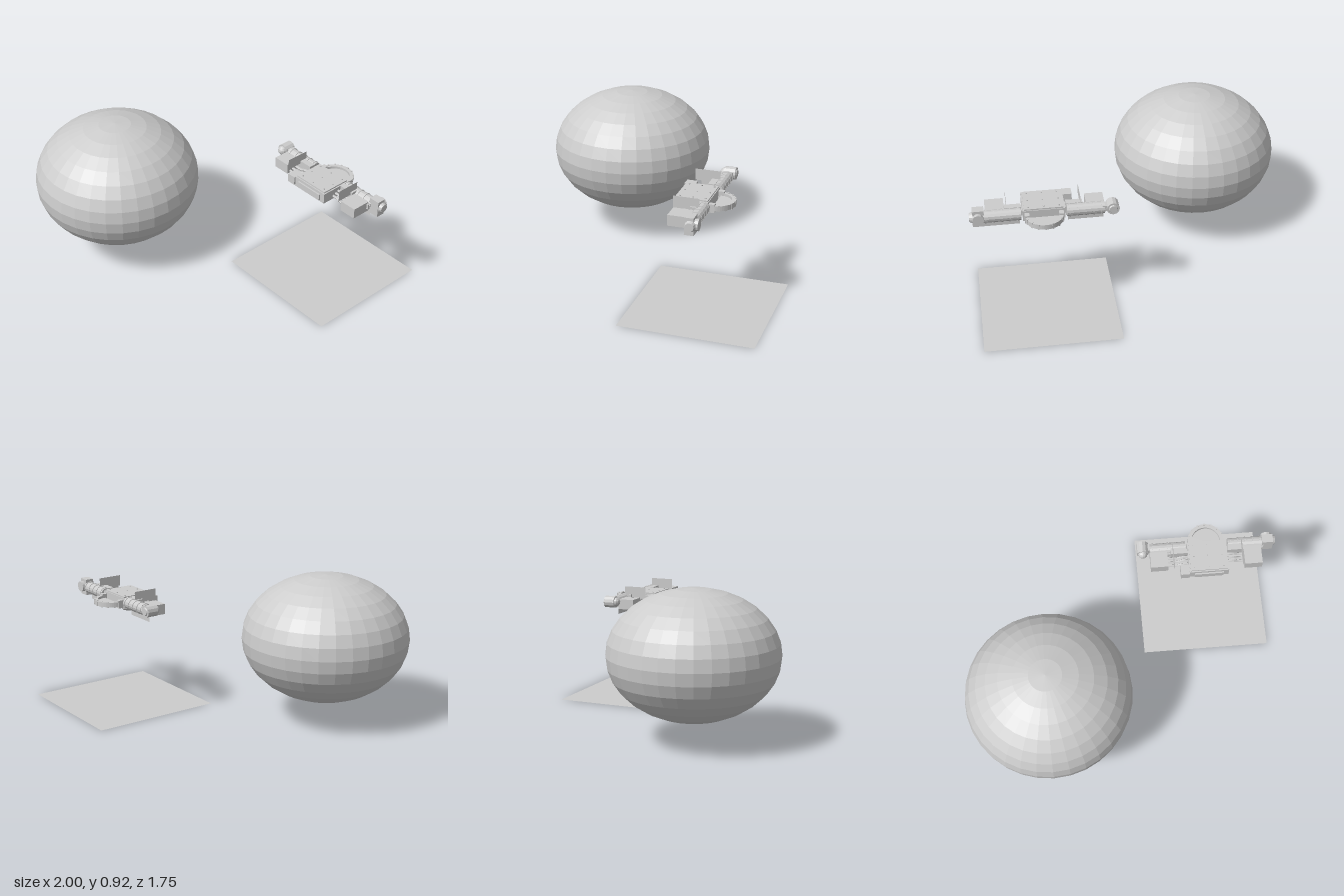
import * as THREE from 'three';

export function createModel() {
  const model = new THREE.Group();
  const grey = new THREE.MeshStandardMaterial({ color: 0xcccccc, flatShading: true, side: THREE.DoubleSide });
  grey.name = 'plain grey';

  const add = (parent, name, geo, x, y, z, rx = 0, ry = 0, rz = 0) => {
    const m = new THREE.Mesh(geo, grey);
    m.name = name;
    m.position.set(x, y, z);
    m.rotation.set(rx, ry, rz);
    parent.add(m);
    return m;
  };
  // box given by its limits
  const box = (parent, name, x0, x1, y0, y1, z0, z1) =>
    add(parent, name, new THREE.BoxGeometry(x1 - x0, y1 - y0, z1 - z0), (x0 + x1) / 2, (y0 + y1) / 2, (z0 + z1) / 2);
  const cyl = (r0, r1, h, n = 16) => new THREE.CylinderGeometry(r0, r1, h, n);
  const group = (name) => {
    const g = new THREE.Group();
    g.name = name;
    model.add(g);
    return g;
  };

  // flattened faceted dome and ground panel
  const dome = new THREE.SphereGeometry(0.515, 32, 16);
  dome.scale(1, 0.763, 1);
  add(model, 'flattenedSphere', dome, -0.485, 0.532, 0.355);
  add(model, 'groundPanel', new THREE.PlaneGeometry(0.82, 0.82), 0.56, 0, -0.468, -Math.PI / 2);

  // central hull, local x measured from the hull centre
  const hull = group('hull');
  hull.position.x = 0.564;
  box(hull, 'hullBlock', -0.123, 0.123, 0.645, 0.712, -0.515, -0.31);
  box(hull, 'hullRoof', -0.115, 0.115, 0.712, 0.72, -0.51, -0.318);
  box(hull, 'frontPanel', -0.09, 0.09, 0.655, 0.695, -0.312, -0.3);
  for (const x of [-0.09, 0, 0.09])
    for (const z of [-0.34, -0.415, -0.49])
      add(hull, 'bolt', cyl(0.005, 0.005, 0.006, 6), x, 0.722, z);

  // stepped round turret beneath
  const turret = [[0, 0.6], [0.036, 0.6], [0.044, 0.61], [0.044, 0.619], [0.062, 0.623], [0.074, 0.635], [0.074, 0.65]];
  add(hull, 'turret', new THREE.LatheGeometry(turret.map(([r, y]) => new THREE.Vector2(r, y)), 20), 0, 0, -0.41);

  // half ring behind the hull
  const arch = new THREE.Shape();
  arch.absarc(0, 0, 0.112, 0, Math.PI, false);
  arch.absarc(0, 0, 0.088, Math.PI, 0, true);
  arch.closePath();
  const ring = new THREE.ExtrudeGeometry(arch, { depth: 0.03, bevelEnabled: false, curveSegments: 14 });
  add(hull, 'rearRing', ring, 0, 0.66, -0.53, -Math.PI / 2);
  const deck = new THREE.CylinderGeometry(0.09, 0.09, 0.014, 14, 1, false, Math.PI / 2, Math.PI);
  add(hull, 'rearDeck', deck, 0, 0.668, -0.53);
  for (const s of [-1, 1])
    box(hull, 'ringMount', s * 0.1 - 0.014, s * 0.1 + 0.014, 0.65, 0.7, -0.55, -0.505);
  for (let i = 1; i < 8; i++) {
    const a = (i / 8) * Math.PI;
    add(hull, 'ringRib', new THREE.BoxGeometry(0.01, 0.036, 0.01),
      Math.cos(a) * 0.109, 0.675, -0.53 - Math.sin(a) * 0.109, 0, a, 0);
  }

  // arms shared by both sides
  for (const s of [-1, 1]) {
    const arm = group(s < 0 ? 'rightArm' : 'leftArm');
    arm.position.x = 0.564;
    const span = (name, a, b, ...r) => box(arm, name, Math.min(s * a, s * b), Math.max(s * a, s * b), ...r);
    add(arm, 'armBarrel', cyl(0.036, 0.036, 0.222, 14), s * 0.244, 0.685, -0.495, 0, 0, Math.PI / 2);
    for (let i = 0; i < 5; i++)
      add(arm, 'barrelBand', cyl(0.039, 0.039, 0.008, 14), s * (0.15 + i * 0.047), 0.685, -0.495, 0, 0, Math.PI / 2);
    span('shoulder', 0.13, 0.228, 0.64, 0.72, -0.48, -0.44);
    span('spine', 0.12, 0.35, 0.66, 0.695, -0.48, -0.45);
    // forward pod
    if (s < 0) span('pod', 0.25, 0.358, 0.64, 0.705, -0.47, -0.365);
    else span('pod', 0.228, 0.338, 0.64, 0.705, -0.47, -0.345);
    // wavy pipes between hull and pod
    for (const [z, y] of [[-0.43, 0.672], [-0.41, 0.662], [-0.39, 0.652]]) {
      const path = new THREE.CatmullRomCurve3([
        [0.115, 0.012], [0.16, 0.012], [0.19, 0], [0.26, 0],
      ].map(([x, dy]) => new THREE.Vector3(s * x, y + dy, z)));
      add(arm, 'pipe', new THREE.TubeGeometry(path, 12, 0.008, 6), 0, 0, 0);
    }
    // thin upright fin and lower plate
    add(arm, 'uprightFin', new THREE.PlaneGeometry(0.153, 0.07), s * 0.215, 0.735, -0.415, 0, Math.PI / 2);
    add(arm, 'lowerPlate', new THREE.PlaneGeometry(0.21, 0.045), s * 0.245, 0.627, -0.475);
  }

  // small sensor box beside the hull
  box(model, 'sensorBox', 0.387, 0.442, 0.655, 0.71, -0.365, -0.3);

  // right end: round nozzle pod
  const rightEnd = group('rightEndPod');
  add(rightEnd, 'podDrum', cyl(0.038, 0.038, 0.07, 12), 0.162, 0.693, -0.502, Math.PI / 2);
  add(rightEnd, 'podLens', new THREE.SphereGeometry(0.03, 12, 8), 0.162, 0.693, -0.468);
  add(rightEnd, 'podCap', cyl(0.022, 0.032, 0.014, 12), 0.162, 0.693, -0.536, -Math.PI / 2);
  box(rightEnd, 'podNeck', 0.18, 0.225, 0.675, 0.71, -0.525, -0.48);

  // left end: square housing with a round side cap
  const leftEnd = group('leftEndPod');
  box(leftEnd, 'podHousing', 0.91, 0.978, 0.635, 0.738, -0.52, -0.465);
  add(leftEnd, 'podDrum', cyl(0.034, 0.034, 0.075, 12), 0.945, 0.69, -0.505, Math.PI / 2);
  add(leftEnd, 'sideCap', cyl(0.025, 0.034, 0.02, 12), 0.986, 0.69, -0.5, 0, 0, -Math.PI / 2);

  return model;
}
